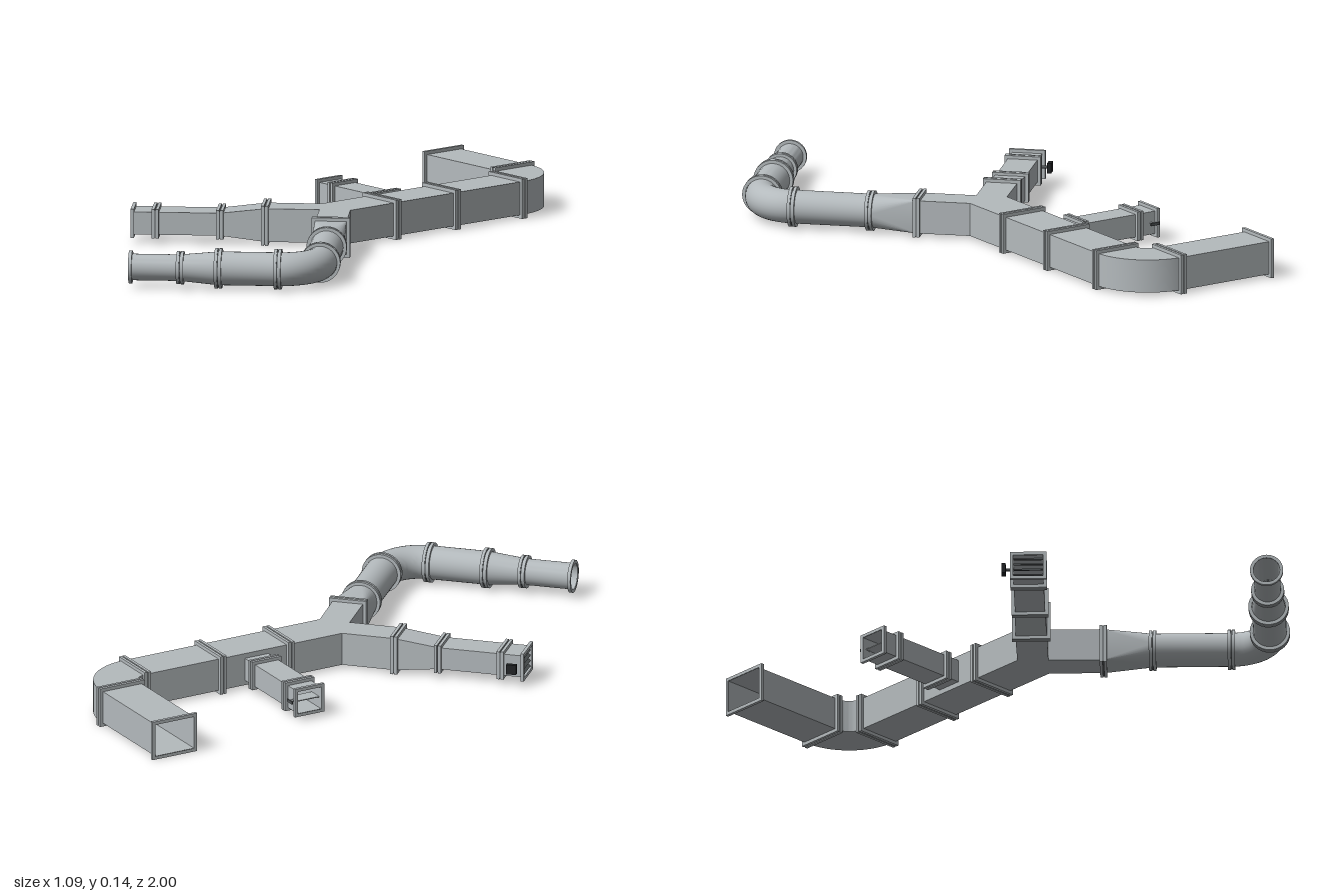
import * as THREE from 'three';
import { toCreasedNormals } from 'three/addons/utils/BufferGeometryUtils.js';

const MID = 0.0685; // height of every duct centreline

export function createModel() {
  const model = new THREE.Group();
  const mat = (name, color) => new THREE.MeshStandardMaterial({ name, color, side: THREE.DoubleSide });
  const metal = mat('galvanisedMetal', 0xb4babd);
  const dark = mat('darkMetal', 0x505456);
  const black = mat('blackPlastic', 0x222426);

  const add = (name, geometry, material, parent = model) => {
    const mesh = new THREE.Mesh(geometry, material);
    mesh.name = name;
    parent.add(mesh);
    return mesh;
  };

  // Cross-section: each corner of a rectangle matches a quarter of a circle
  const section = (x, z, angle, { w, h = w, round = false }) => {
    const points = [];
    const dx = Math.sin(angle), dz = Math.cos(angle);
    for (let q = 0; q < 4; q++) {
      for (let k = 0; k <= 8; k++) {
        const t = (q + k / 8) * Math.PI / 2;
        const u = (round ? Math.cos(t) : (q === 0 || q === 3 ? 1 : -1)) * w / 2;
        const v = (round ? Math.sin(t) : (q < 2 ? 1 : -1)) * h / 2;
        points.push(new THREE.Vector3(x + dz * u, MID + v, z - dx * u));
      }
    }
    return points;
  };

  // Skin between successive cross-sections
  const loft = (rings) => {
    const positions = [];
    const tri = (a, b, c) => {
      const area = b.clone().sub(a).cross(c.clone().sub(a)).length();
      if (area > 1e-9) for (const p of [a, b, c]) positions.push(p.x, p.y, p.z);
    };
    for (let r = 0; r + 1 < rings.length; r++) {
      const A = rings[r], B = rings[r + 1];
      for (let i = 0; i < A.length; i++) {
        const j = (i + 1) % A.length;
        tri(A[i], A[j], B[j]);
        tri(A[i], B[j], B[i]);
      }
    }
    const g = new THREE.BufferGeometry();
    g.setAttribute('position', new THREE.Float32BufferAttribute(positions, 3));
    return toCreasedNormals(g, 0.5);
  };

  const duct = (name, from, to, angle, sizeA, sizeB = sizeA) =>
    add(name, loft([section(...from, angle, sizeA), section(...to, angle, sizeB)]), metal);

  const elbow = (name, [cx, cz], radius, a0, a1, size) => {
    const rings = [], s = Math.sign(a0 - a1);
    for (let i = 0; i <= 16; i++) {
      const a = a0 + (a1 - a0) * i / 16;
      rings.push(section(cx + s * radius * Math.cos(a), cz - s * radius * Math.sin(a), a, size));
    }
    add(name, loft(rings), metal);
  };

  // Collar around a duct between two distances along its axis
  const collar = (name, [x, z], angle, size, lip, s0, s1, material) => {
    const h = size.h ?? size.w;
    const big = { ...size, w: size.w + 2 * lip, h: h + 2 * lip };
    const at = (s, sz) => section(x + Math.sin(angle) * s, z + Math.cos(angle) * s, angle, sz);
    add(name, loft([at(s0, size), at(s0, big), at(s1, big), at(s1, size)]), material);
  };
  const joint = (name, p, angle, size, lip = 0.011) => {
    collar(name + 'FlangeA', p, angle, size, lip, -0.012, -0.002, metal);
    collar(name + 'FlangeB', p, angle, size, lip, 0.002, 0.012, metal);
    collar(name + 'Gasket', p, angle, size, lip - 0.003, -0.002, 0.002, dark);
  };
  const endFlange = (name, p, angle, size, lip = 0.011) =>
    collar(name, p, angle, size, lip, -0.01, 0.001, metal);

  const trunk = { w: 0.148, h: 0.112 };
  const fork = { w: 0.105, h: 0.112 };
  const slim = { w: 0.1, h: 0.076 };
  const side = { w: 0.09, h: 0.078 };
  const wide = { w: 0.112, round: true };
  const narrow = { w: 0.088, round: true };
  const BACK = Math.PI, WEST = Math.PI * 1.5, SE = Math.PI / 4, SW = -Math.PI / 4;
  const AX = -0.016; // trunk axis

  // Main trunk, bend and open back duct
  duct('trunkTee', [AX, -0.24], [AX, -0.5], BACK, trunk);
  duct('trunkStraight', [AX, -0.5], [AX, -0.79], BACK, trunk);
  elbow('squareElbow', [AX - 0.129, -0.79], 0.129, BACK, WEST, trunk);
  duct('backDuct', [-0.145, -0.919], [-0.505, -0.919], WEST, trunk);
  for (const z of [-0.24, -0.5, -0.79]) joint('trunk', [AX, z], BACK, trunk, 0.0115);
  joint('backDuct', [-0.145, -0.919], WEST, trunk, 0.0115);
  endFlange('backDuctEndFlange', [-0.505, -0.919], WEST, trunk, 0.0115);

  // Y-shaped fork
  const half = [[0.074, -0.24], [0.074, -0.04], [0.203, 0.086], [0.129, 0.16]];
  const plan = [...half, [0, 0.032], ...half.slice().reverse().map(([x, z]) => [-x, z])];
  const shape = new THREE.Shape(plan.map(([x, z]) => new THREE.Vector2(x + AX, -z)));
  const forkGeometry = new THREE.ExtrudeGeometry(shape, { depth: fork.h, bevelEnabled: false });
  forkGeometry.rotateX(-Math.PI / 2).translate(0, MID - fork.h / 2, 0);
  add('fork', forkGeometry, metal);

  // Left-hand round run: square-to-round, pipe, bend, reducer, open pipe
  joint('roundRunStart', [0.15, 0.123], SE, fork);
  duct('squareToRound', [0.15, 0.123], [0.265, 0.239], SE, fork, wide);
  duct('widePipe', [0.265, 0.239], [0.45, 0.424], SE, wide);
  elbow('roundElbow', [0.358, 0.516], 0.13, SE, SW, wide);
  duct('widePipeShort', [0.45, 0.608], [0.31, 0.748], SW, wide);
  duct('roundReducer', [0.31, 0.748], [0.22, 0.838], SW, wide, narrow);
  duct('narrowPipe', [0.22, 0.838], [0.1, 0.958], SW, narrow);
  joint('roundA', [0.265, 0.239], SE, wide);
  joint('roundB', [0.45, 0.424], SE, wide);
  joint('roundC', [0.45, 0.608], SW, wide);
  joint('roundD', [0.31, 0.748], SW, wide);
  joint('roundE', [0.22, 0.838], SW, narrow);
  endFlange('narrowPipeEndFlange', [0.1, 0.958], SW, narrow);

  // Right-hand run: reducer, straight duct and grille box
  joint('forkRight', [-0.182, 0.123], SW, fork);
  duct('flatReducer', [-0.182, 0.123], [-0.288, 0.229], SW, fork, slim);
  duct('slimDuct', [-0.288, 0.229], [-0.44, 0.381], SW, slim);
  duct('grilleBox', [-0.44, 0.381], [-0.497, 0.438], SW, slim);
  joint('slimA', [-0.288, 0.229], SW, slim);
  joint('slimB', [-0.44, 0.381], SW, slim);
  endFlange('grilleEndFlange', [-0.497, 0.438], SW, slim);

  // Tilted blades and adjusting knob of the grille
  const grille = new THREE.Group();
  grille.name = 'grille';
  grille.position.set(-0.497, MID, 0.438);
  grille.rotation.y = SW;
  model.add(grille);
  for (let i = 0; i < 4; i++) {
    const blade = add('grilleBlade', new THREE.BoxGeometry(0.099, 0.003, 0.024), dark, grille);
    blade.position.set(0, -0.0285 + i * 0.019, -0.015);
    blade.rotation.x = 0.6;
  }
  const stem = add('knobStem', new THREE.CylinderGeometry(0.005, 0.005, 0.03, 12), dark, grille);
  stem.rotation.z = Math.PI / 2;
  stem.position.set(-0.063, 0, -0.035);
  const knob = add('knob', new THREE.BoxGeometry(0.014, 0.034, 0.034), black, grille);
  knob.position.set(-0.082, 0, -0.035);

  // Small side branch off the trunk with a damper
  const SZ = -0.367;
  duct('sideCollar', [-0.09, SZ], [-0.145, SZ], WEST, side);
  duct('sideDuct', [-0.145, SZ], [-0.365, SZ], WEST, side);
  duct('damperBox', [-0.365, SZ], [-0.442, SZ], WEST, side);
  joint('sideA', [-0.145, SZ], WEST, side);
  joint('sideB', [-0.365, SZ], WEST, side);
  endFlange('damperEndFlange', [-0.442, SZ], WEST, side);
  add('damperBlade', new THREE.BoxGeometry(0.05, 0.003, 0.088), metal).position.set(-0.405, MID, SZ);
  const pivot = add('damperPivot', new THREE.CylinderGeometry(0.004, 0.004, 0.02, 12), metal);
  pivot.rotation.x = Math.PI / 2;
  pivot.position.set(-0.415, MID, SZ - 0.052);
  add('damperLever', new THREE.BoxGeometry(0.034, 0.01, 0.004), dark).position.set(-0.42, MID, SZ - 0.062);

  return model;
}
